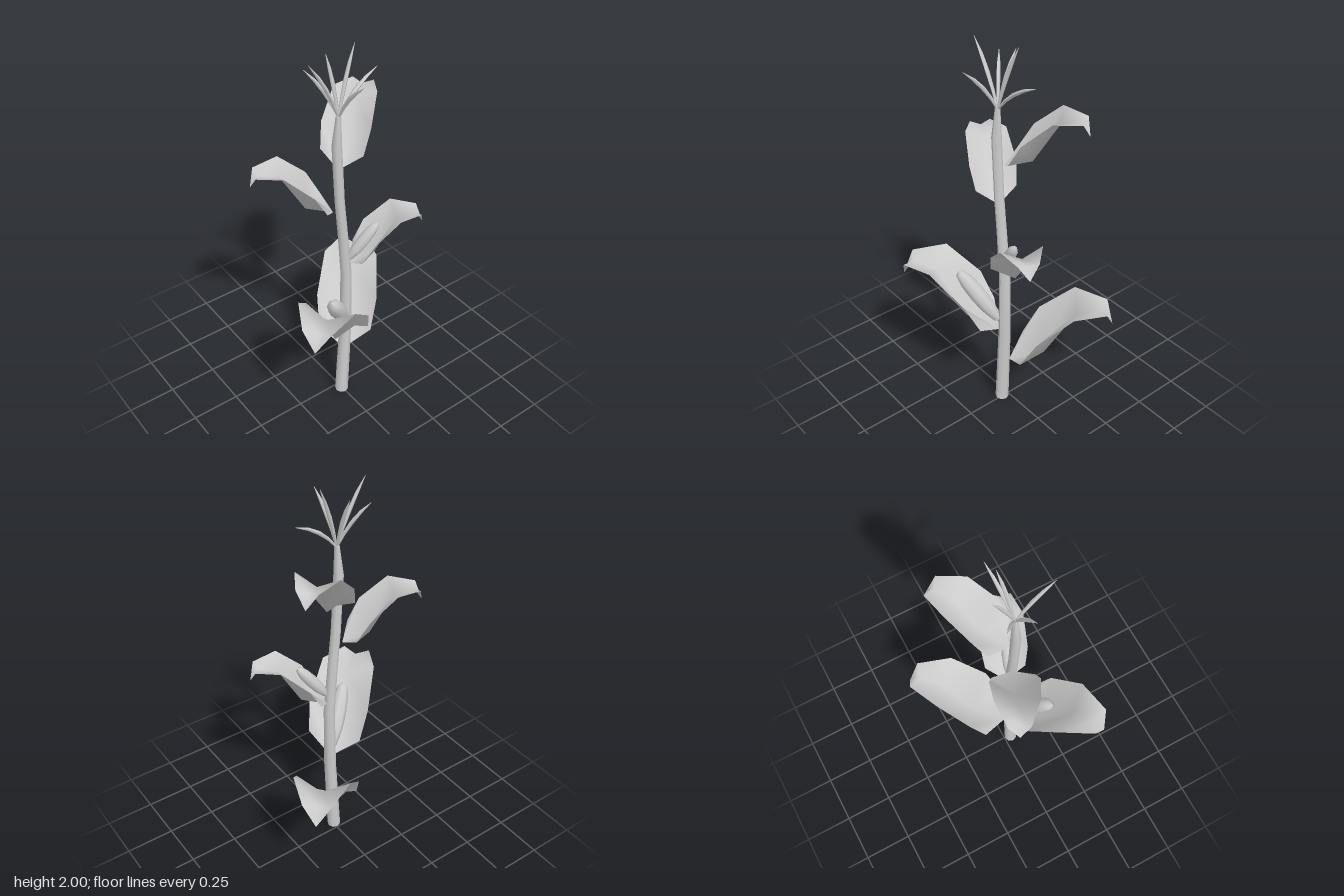
import * as THREE from 'three';

const material = new THREE.MeshStandardMaterial({ color: 0xcccccc, side: THREE.DoubleSide });
const V = (x, y, z) => new THREE.Vector3(x, y, z);
const UP = V(0, 1, 0);

function addMesh(parent, name, geometry) {
  const mesh = new THREE.Mesh(geometry, material);
  mesh.name = name;
  parent.add(mesh);
  return mesh;
}

// Tapered rod bent along a list of centre points, with one radius per point
function rod(points, radii, sides) {
  const rows = points.length - 1;
  const geometry = new THREE.CylinderGeometry(1, 1, 1, sides, rows);
  const pos = geometry.attributes.position;
  for (let i = 0; i < pos.count; i++) {
    const row = Math.round((pos.getY(i) + 0.5) * rows);
    const c = points[row];
    const ahead = points[Math.min(row + 1, rows)].clone().sub(points[Math.max(row - 1, 0)]).normalize();
    const turn = new THREE.Quaternion().setFromUnitVectors(UP, ahead);
    const p = V(pos.getX(i), 0, pos.getZ(i)).multiplyScalar(radii[row]).applyQuaternion(turn).add(c);
    pos.setXYZ(i, p.x, p.y, p.z);
  }
  geometry.computeVertexNormals();
  return geometry;
}

// Folded leaf: each section has a low midrib and two raised edges
// [midrib out, midrib height, edge out, edge height, half width]
const leafSections = [
  [0.025, -0.005, 0.09, 0.08, 0.137],
  [0.205, 0.055, 0.17, 0.225, 0.157],
  [0.362, 0.315, 0.35, 0.38, 0.138],
  [0.49, 0.345, 0.515, 0.365, 0.068],
];
const leafTip = [0.545, 0.265, 0];

function leafGeometry() {
  const vertices = [];
  const index = [];
  for (const [mr, my, er, ey, half] of leafSections) {
    vertices.push(er, ey, -half, mr, my, 0, er, ey, half);
  }
  vertices.push(...leafTip);
  const last = (leafSections.length - 1) * 3;
  for (let side = 0; side < 2; side++) {
    for (let a = side; a < last; a += 3) {
      index.push(a, a + 1, a + 3, a + 1, a + 4, a + 3);
    }
    // drooping tip
    index.push(last + side, last + side + 1, last + 3);
  }
  const geometry = new THREE.BufferGeometry();
  geometry.setAttribute('position', new THREE.Float32BufferAttribute(vertices, 3));
  geometry.setIndex(index);
  geometry.computeVertexNormals();
  return geometry;
}

// Ear: slim spindle, unit length
function earGeometry() {
  const profile = [[0, 0], [0.07, 0.06], [0.115, 0.3], [0.125, 0.55], [0.11, 0.8], [0.07, 0.95], [0, 1]];
  return new THREE.LatheGeometry(profile.map(([r, y]) => new THREE.Vector2(r, y)), 8);
}

export function createModel() {
  const model = new THREE.Group();
  model.name = 'cornPlant';

  // Stalk
  const stalk = [
    [-0.005, 0, 0.035], [0.018, 0.45, 0.031], [0.021, 0.8, 0.028], [0.0, 1.05, 0.025],
    [-0.019, 1.25, 0.024], [-0.035, 1.55, 0.024], [-0.026, 1.7, 0.012],
  ];
  addMesh(model, 'stalk', rod(stalk.map(([x, y]) => V(x, y, 0.037)), stalk.map((p) => p[2]), 8));

  // Leaves: stalk x, base height, z, heading in degrees, scale, reach
  const leaf = leafGeometry();
  const leaves = [
    [0.008, 0.27, 0.03, 46.5, 1, 1],
    [0.02, 0.48, 0.042, 217, 1, 0.95],
    [0.023, 0.857, 0.023, -24, 0.725, 0.97],
    [-0.027, 1.19, 0.027, 156, 0.725, 1],
    [-0.026, 1.41, 0.026, 35, 0.75, 1],
  ];
  for (const [x, y, z, heading, scale, reach] of leaves) {
    const mesh = addMesh(model, 'leaf', leaf);
    mesh.position.set(x, y, z);
    mesh.rotation.y = THREE.MathUtils.degToRad(heading);
    mesh.scale.set(scale * reach, scale, scale);
  }

  // Ears, cradled in two of the leaves
  const ear = earGeometry();
  const ears = [
    [V(0.0, 0.53, 0.052), V(-0.17, 0.8, 0.18)],
    [V(0.025, 0.89, 0.045), V(0.163, 1.08, 0.094)],
  ];
  for (const [from, to] of ears) {
    const axis = to.clone().sub(from);
    const mesh = addMesh(model, 'ear', ear);
    mesh.position.copy(from);
    mesh.scale.setScalar(axis.length());
    mesh.quaternion.setFromUnitVectors(UP, axis.normalize());
  }

  // Tassel: curved spikes leaning outwards
  const tassel = new THREE.Group();
  tassel.name = 'tassel';
  model.add(tassel);
  const root = V(-0.025, 1.69, 0.037);
  const tips = [
    [-0.18, 1.985, 0.042], [-0.135, 1.91, -0.06], [-0.02, 1.95, -0.062],
    [0.08, 2.0, 0.008], [0.2, 1.86, 0.015], [-0.03, 1.91, 0.215],
  ];
  for (const [x, y, z] of tips) {
    const tip = V(x, y, z);
    const bend = root.clone().lerp(tip, 0.38);
    bend.y += 0.055;
    const curve = new THREE.QuadraticBezierCurve3(root, bend, tip);
    addMesh(tassel, 'tasselSpike', rod(curve.getPoints(4), [0.005, 0.008, 0.01, 0.008, 0.001], 5));
  }

  return model;
}
